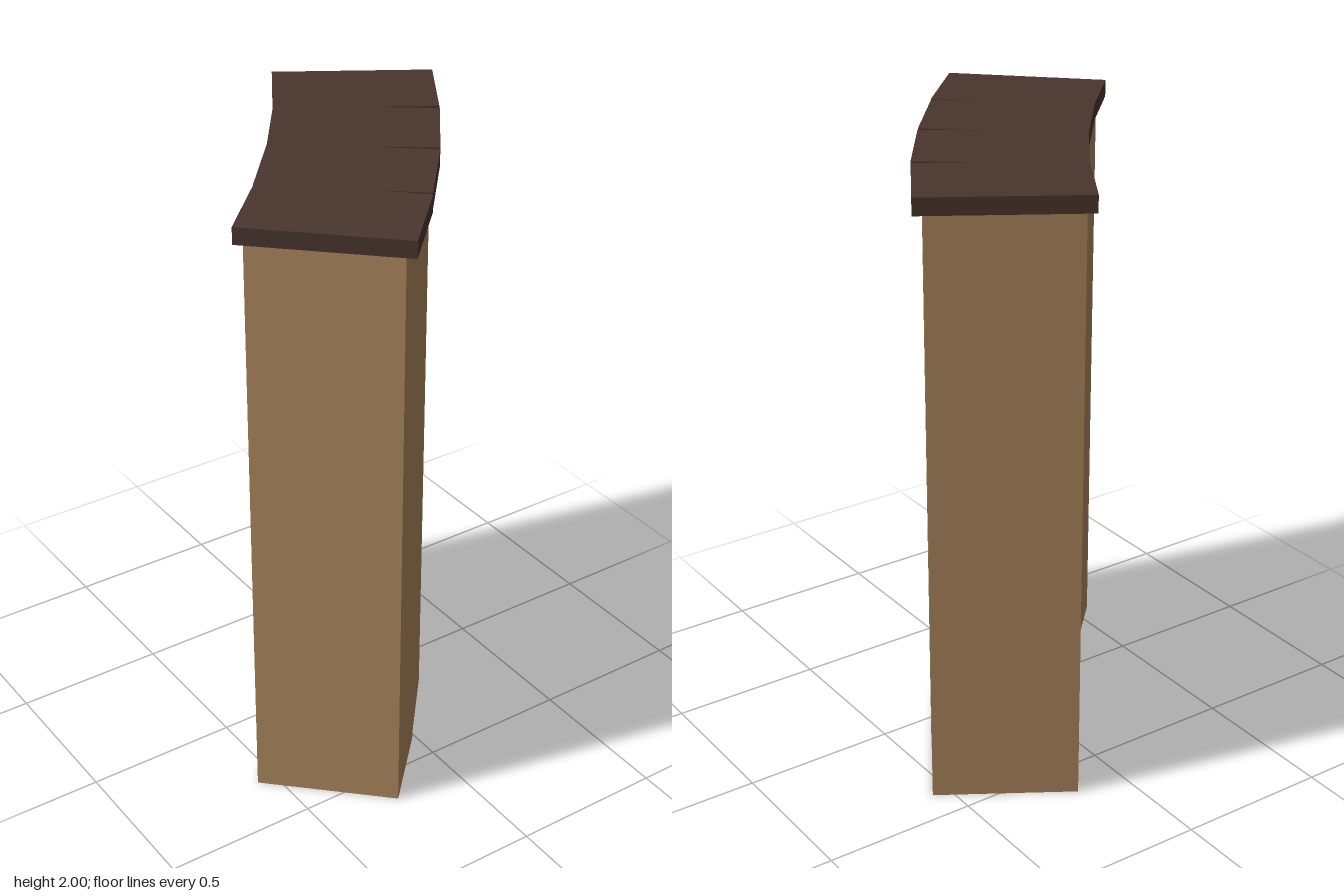
import * as THREE from 'three';

// Short curved wall: four straight segments fanned along an arc, each with a cap.
export function createModel() {
  const group = new THREE.Group();
  const wallMat = new THREE.MeshStandardMaterial({ color: 0xb08a5e, flatShading: true });
  const capMat = new THREE.MeshStandardMaterial({ color: 0x4a362e, flatShading: true });

  const capBottom = 1.945;
  const wallGeo = new THREE.BoxGeometry(0.464, capBottom, 0.313);
  const capGeo = new THREE.BoxGeometry(0.525, 2 - capBottom, 0.313);

  // centre x, centre z, turn in degrees
  const segments = [
    [0.28, -0.378, 32.1],
    [0.107, -0.121, 36.2],
    [-0.084, 0.122, 40.2],
    [-0.288, 0.35, 44.2],
  ];

  segments.forEach(([x, z, turn], i) => {
    const segment = new THREE.Group();
    segment.name = `wallSegment${i + 1}`;
    segment.position.set(x, 0, z);
    segment.rotation.y = -THREE.MathUtils.degToRad(turn);

    const wall = new THREE.Mesh(wallGeo, wallMat);
    wall.name = 'wallPanel';
    wall.position.y = capBottom / 2;

    // cap overhangs the two long faces only
    const cap = new THREE.Mesh(capGeo, capMat);
    cap.name = 'wallCap';
    cap.position.y = (capBottom + 2) / 2;

    segment.add(wall, cap);
    group.add(segment);
  });
  return group;
}
